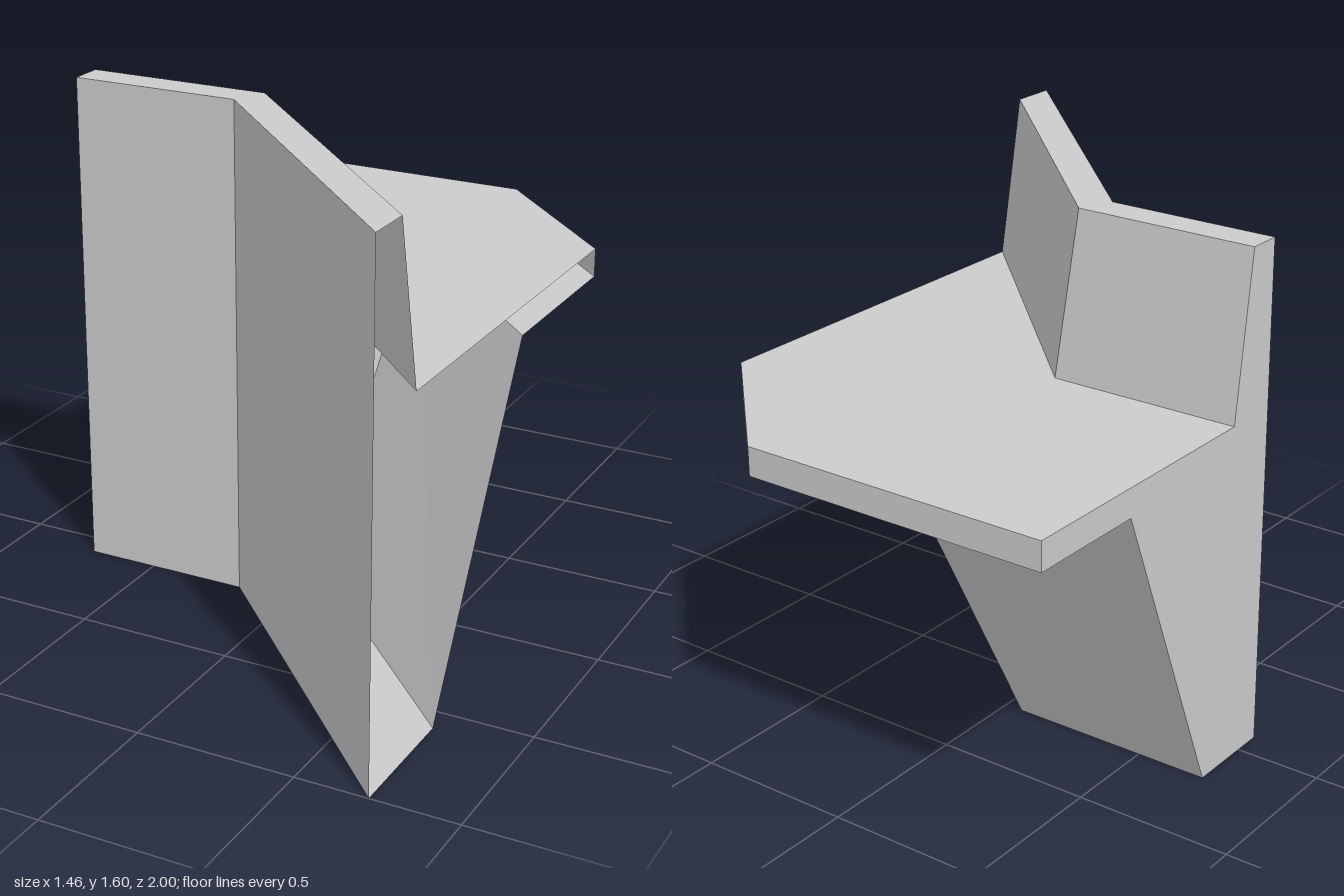
import * as THREE from 'three';

const X = 0.728, DESK_TOP = 1.09, DESK_BOTTOM = 1.0, HEIGHT = 1.6;

// Plan line parallel to the angled front, moved back by d with a mitred bend
const planLine = (d) => [
  [-X, 0.09 - d],
  [-0.18 + d * Math.tan(Math.PI / 8), 0.09 - d],
  [X, 1 - d * Math.SQRT2],
];
// Outer rim of the desk with its clipped corner
const deskRim = [[-X, -1], [0.275, -1], [X, -0.547]];

// Flat quads between two plan lines at two heights
function strip(lineA, yA, lineB, yB) {
  const pos = [];
  for (let i = 0; i < lineA.length - 1; i++) {
    const a0 = [lineA[i][0], yA, lineA[i][1]];
    const a1 = [lineA[i + 1][0], yA, lineA[i + 1][1]];
    const b0 = [lineB[i][0], yB, lineB[i][1]];
    const b1 = [lineB[i + 1][0], yB, lineB[i + 1][1]];
    pos.push(...a0, ...a1, ...b1, ...a0, ...b1, ...b0);
  }
  const geo = new THREE.BufferGeometry();
  geo.setAttribute('position', new THREE.Float32BufferAttribute(pos, 3));
  geo.computeVertexNormals();
  return geo;
}

const flat = (points) =>
  new THREE.ShapeGeometry(new THREE.Shape(points.map(([a, b]) => new THREE.Vector2(a, b))));

export function createModel() {
  const grey = new THREE.MeshStandardMaterial({ color: 0xcccccc, side: THREE.DoubleSide });
  grey.name = 'light grey';
  const group = new THREE.Group();
  group.name = 'angledCounter';
  const add = (name, geo) => {
    const mesh = new THREE.Mesh(geo, grey);
    mesh.name = name;
    group.add(mesh);
  };

  // Bent skins: [name, setback, height, setback, height]
  const skins = [
    ['frontPanel', 0, 0, 0, HEIGHT],
    ['topLedge', 0, HEIGHT, 0.107, HEIGHT],
    ['upperBackPanel', 0.107, HEIGHT, 0.18, DESK_TOP],
    ['baseBackPanel', 0.69, DESK_BOTTOM, 0.29, 0],
    ['baseFloor', 0.29, 0, 0, 0],
  ];
  for (const [name, d1, y1, d2, y2] of skins) add(name, strip(planLine(d1), y1, planLine(d2), y2));

  // Desk slab: top, underside and rim
  const rimBack = [...deskRim].reverse();
  const top = [...planLine(0.18), ...rimBack].map(([x, z]) => [x, -z]);
  add('deskTop', flat(top).rotateX(-Math.PI / 2).translate(0, DESK_TOP, 0));
  const under = [...planLine(0.69), ...rimBack];
  add('deskUnderside', flat(under).rotateX(Math.PI / 2).translate(0, DESK_BOTTOM, 0));
  add('deskRim', strip(deskRim, DESK_TOP, deskRim, DESK_BOTTOM));

  // Closed end on the straight side; the other end stays open
  const section = [
    [0.09, 0], [0.09, HEIGHT], [-0.017, HEIGHT], [-0.09, DESK_TOP],
    [-1, DESK_TOP], [-1, DESK_BOTTOM], [-0.6, DESK_BOTTOM], [-0.2, 0],
  ];
  add('endPanel', flat(section).rotateY(-Math.PI / 2).translate(-X, 0, 0));

  return group;
}
